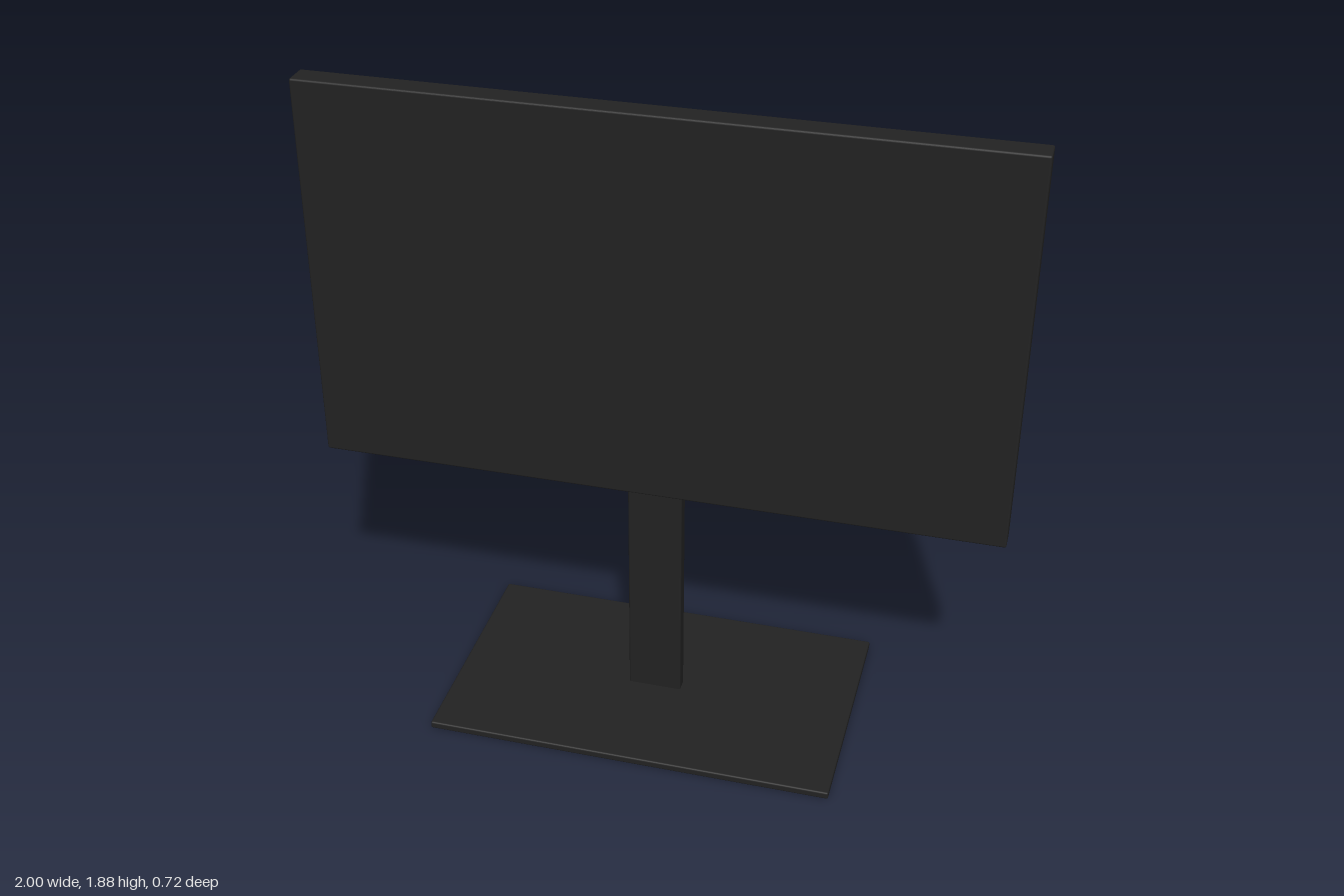
import * as THREE from 'three';
import { RoundedBoxGeometry } from 'three/addons/geometries/RoundedBoxGeometry.js';

export function createModel() {
  const model = new THREE.Group();
  model.name = 'monitor';

  const black = new THREE.MeshStandardMaterial({ color: 0x222222 });
  black.name = 'matteBlack';

  // Box with softened edges, placed by its bottom height
  const slab = (name, width, height, depth, bottom, radius) => {
    const mesh = new THREE.Mesh(new RoundedBoxGeometry(width, height, depth, 2, radius), black);
    mesh.name = name;
    mesh.position.y = bottom + height / 2;
    model.add(mesh);
  };

  slab('screen', 2, 1.156, 0.076, 0.725, 0.006);
  slab('neck', 0.16, 0.73, 0.044, 0.01, 0.006);
  slab('base', 1.2, 0.022, 0.72, 0, 0.005);

  return model;
}
